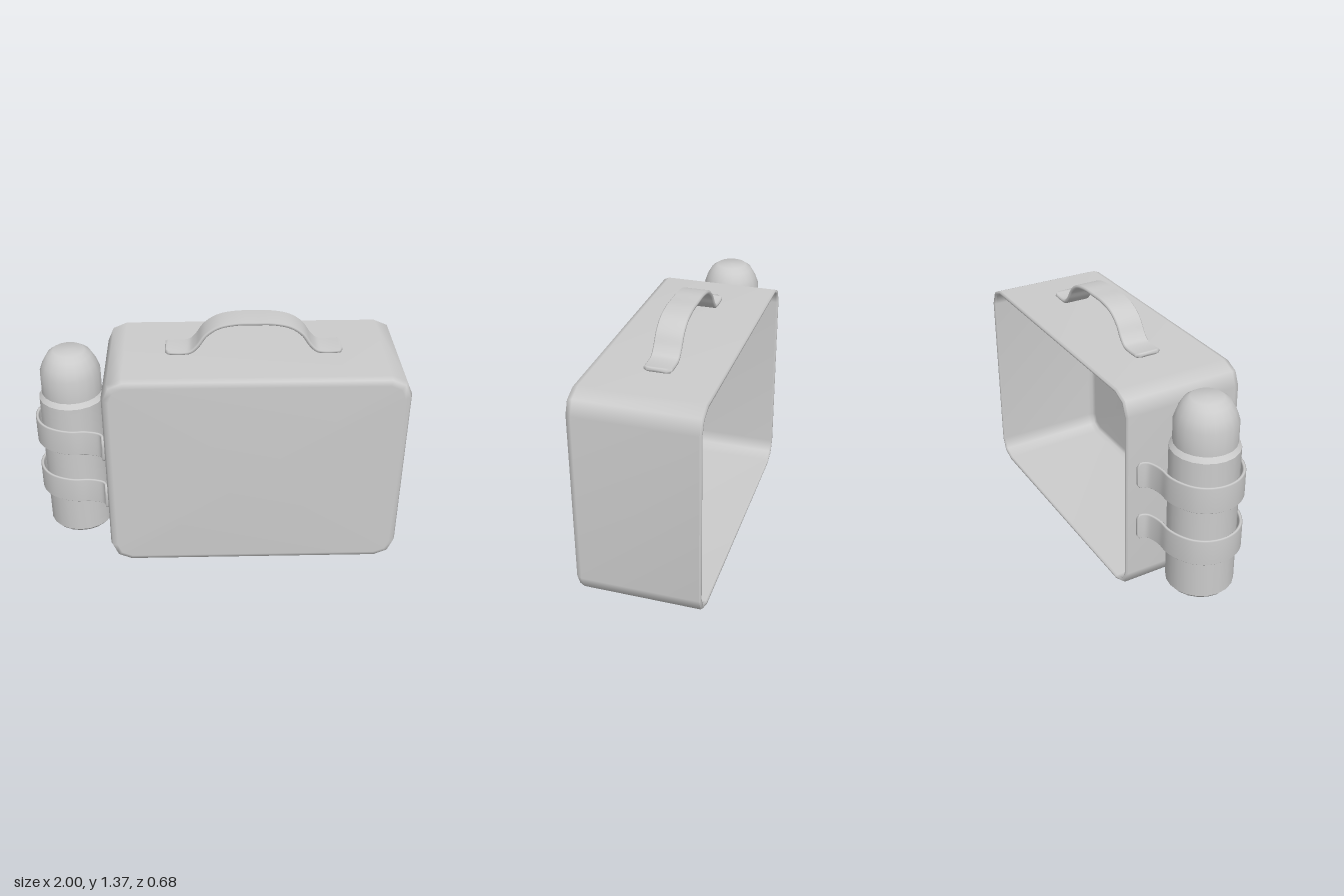
import * as THREE from 'three';
import { toCreasedNormals } from 'three/addons/utils/BufferGeometryUtils.js';

const material = new THREE.MeshStandardMaterial({ color: 0xcccccc });

function mesh(geometry, name) {
  const m = new THREE.Mesh(geometry, material);
  m.name = name;
  return m;
}

// Skin a series of closed loops of Vector3, optionally closing the first and last loop
function loft(rings, capStart, capEnd) {
  const n = rings[0].length, pos = [], index = [];
  for (const ring of rings) for (const p of ring) pos.push(p.x, p.y, p.z);
  for (let r = 0; r < rings.length - 1; r++) {
    for (let i = 0; i < n; i++) {
      const j = (i + 1) % n, a = r * n, b = a + n;
      index.push(a + i, b + i, b + j, a + i, b + j, a + j);
    }
  }
  const cap = (r, flip) => {
    const c = pos.length / 3, mid = new THREE.Vector3();
    rings[r].forEach((p) => mid.addScaledVector(p, 1 / n));
    pos.push(mid.x, mid.y, mid.z);
    for (let i = 0; i < n; i++) {
      const a = r * n + i, b = r * n + (i + 1) % n;
      index.push(c, flip ? b : a, flip ? a : b);
    }
  };
  if (capStart) cap(0, false);
  if (capEnd) cap(rings.length - 1, true);
  const g = new THREE.BufferGeometry();
  g.setAttribute('position', new THREE.Float32BufferAttribute(pos, 3));
  g.setIndex(index);
  g.computeVertexNormals();
  return g;
}

// Case outline with three-point corners, shrunk by an inset, at depth z
function outline(inset, z) {
  const cx = 0.1975, cy = 0.5875, hx = 0.8025 - inset, hy = 0.5875 - inset;
  const k = Math.max(0.4, 1 - inset * 7);
  const corner = [[0, 0.11], [0.032, 0.034], [0.11, 0]];
  const ring = [];
  for (const [sx, sy] of [[1, 1], [-1, 1], [-1, -1], [1, -1]]) {
    const pts = sx * sy > 0 ? corner : [...corner].reverse();
    for (const [dx, dy] of pts) {
      ring.push(new THREE.Vector3(cx + sx * (hx - dx * k), cy + sy * (hy - dy * k), z));
    }
  }
  return ring;
}

// Flat band swept along a planar path, with chamfered edges and rounded ends
function band(points, across, width, thickness, endRadius) {
  const curve = new THREE.CatmullRomCurve3(points, false, 'centripetal');
  const length = curve.getLength(), steps = 72, c = thickness * 0.3, h = thickness / 2;
  const rings = [];
  for (let s = 0; s <= steps; s++) {
    const t = s / steps, p = curve.getPointAt(t);
    const u = new THREE.Vector3().crossVectors(curve.getTangentAt(t), across).normalize();
    const d = Math.max(0, endRadius - Math.min(t, 1 - t) * length);
    const w = width / 2 - endRadius + Math.sqrt(endRadius ** 2 - d ** 2);
    const section = [[h, -w + c], [h, w - c], [h - c, w], [c - h, w], [-h, w - c], [-h, c - w], [c - h, -w], [h - c, -w]];
    rings.push(section.map(([a, b]) => p.clone().addScaledVector(u, a).addScaledVector(across, b)));
  }
  return loft(rings, true, true);
}

function lathe(profile, name) {
  const pts = profile.map(([r, y]) => new THREE.Vector2(r, y));
  return mesh(toCreasedNormals(new THREE.LatheGeometry(pts, 20), 0.65), name);
}

export function createModel() {
  const model = new THREE.Group();
  model.name = 'lunchBox';

  // Open-backed case: outside, rim and inside
  const box = new THREE.Group();
  box.name = 'case';
  box.add(
    mesh(loft([outline(0.04, 0.34), outline(0.012, 0.328), outline(0, 0.3), outline(0, -0.327)], true, false), 'caseShell'),
    mesh(loft([outline(0, -0.327), outline(0.007, -0.336), outline(0.017, -0.336), outline(0.022, -0.327)], false, false), 'caseRim'),
    mesh(loft([outline(0.022, -0.327), outline(0.022, 0.285), outline(0.034, 0.31), outline(0.058, 0.32)], false, true), 'caseLining'),
  );
  model.add(box);

  // Carrying handle: one half mirrored about its middle
  const half = [[-0.47, 1.19], [-0.445, 1.186], [-0.375, 1.184], [-0.335, 1.192], [-0.3, 1.225],
    [-0.255, 1.288], [-0.19, 1.332], [-0.1, 1.352]];
  const hx = 0.195, hz = -0.013;
  const handlePath = [...half, [0, 1.354], ...half.map(([x, y]) => [-x, y]).reverse()]
    .map(([x, y]) => new THREE.Vector3(hx + x, y, hz));
  model.add(mesh(band(handlePath, new THREE.Vector3(0, 0, 1), 0.146, 0.022, 0.022), 'handle'));

  // Flask with a domed cup
  const flask = new THREE.Group();
  flask.name = 'flask';
  flask.add(
    lathe([[0, 0.09], [0.165, 0.09], [0.18, 0.108], [0.18, 0.915], [0.157, 0.943], [0, 0.943]], 'flaskBody'),
    lathe([[0, 0.943], [0.163, 0.943], [0.163, 1.065], [0.145, 1.115], [0.118, 1.162], [0.085, 1.185], [0, 1.185]], 'flaskCup'),
  );
  flask.position.set(-0.79, 0, 0);
  model.add(flask);

  // Two straps wrapping the flask, with flanges against the case
  const side = [[-0.614, 0.28], [-0.618, 0.245], [-0.632, 0.225], [-0.665, 0.21], [-0.72, 0.2], [-0.79, 0.202],
    [-0.865, 0.182], [-0.93, 0.142], [-0.975, 0.078]];
  const strapPath = [...side, [-0.991, 0], ...side.map(([x, z]) => [x, -z]).reverse()];
  for (const [y, name] of [[0.405, 'lowerStrap'], [0.72, 'upperStrap']]) {
    const pts = strapPath.map(([x, z]) => new THREE.Vector3(x, y, z));
    model.add(mesh(band(pts, new THREE.Vector3(0, 1, 0), 0.15, 0.018, 0.02), name));
  }

  return model;
}
